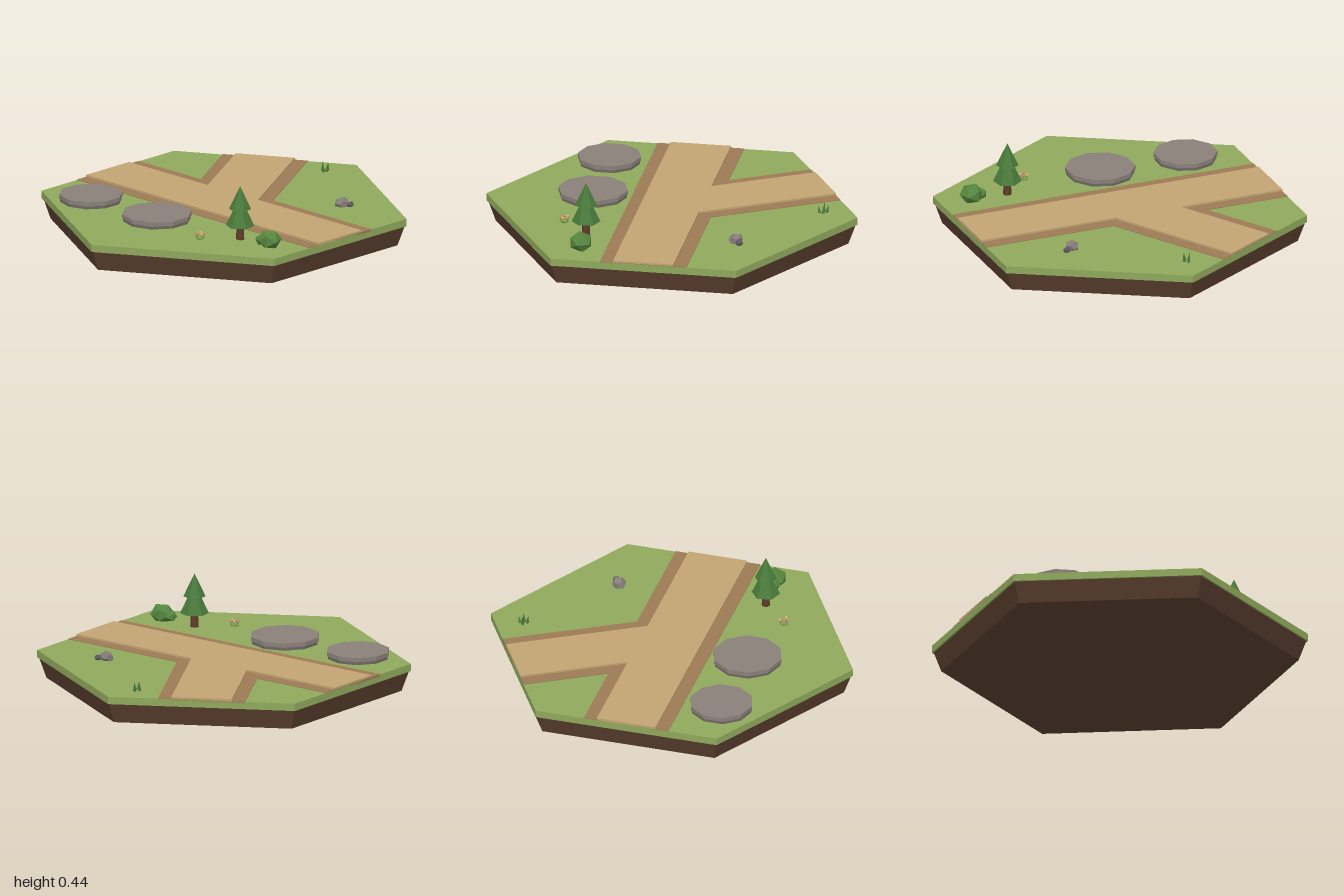
import * as THREE from 'three';

const GROUND = 0.15;
const mat = (color) => new THREE.MeshStandardMaterial({ color, flatShading: true });
const M = {
  soil: mat(0x5c4030), grass: mat(0x8fa85c), verge: mat(0x9c7a54), road: mat(0xc2a473),
  stone: mat(0x8a807a), stoneDark: mat(0x6e6662), trunk: mat(0x5d3d28), pine: mat(0x4a7a3c),
  bush: mat(0x55853f), rock: mat(0x857c78), rockDark: mat(0x5c5860), blade: mat(0x4f7d3c),
  leaf: mat(0x7da050), pink: mat(0xd98080), yellow: mat(0xe0c070),
};

function add(parent, name, geometry, material, x = 0, y = 0, z = 0) {
  const mesh = new THREE.Mesh(geometry, material);
  mesh.name = name;
  mesh.position.set(x, y, z);
  parent.add(mesh);
  return mesh;
}

function group(parent, name, x, z, y = GROUND) {
  const g = new THREE.Group();
  g.name = name;
  g.position.set(x, y, z);
  parent.add(g);
  return g;
}

// Slab in the outline of a straight road with a branch leaving at 60 degrees, w = half width
function roadSlab(w, bottom, top) {
  const e = Math.sqrt(3) / 2;
  const along = (t, s) => [-0.5 * t + e * s, -e * t - 0.5 * s];
  const outline = [
    [-e, w], [e, w], [e, -w],
    along(w / Math.sqrt(3), w), along(e, w), along(e, -w), along(w * Math.sqrt(3), -w),
    [-e, -w],
  ];
  const shape = new THREE.Shape(outline.map(([x, z]) => new THREE.Vector2(x, -z)));
  const geo = new THREE.ExtrudeGeometry(shape, { depth: top - bottom, bevelEnabled: false });
  return geo.rotateX(-Math.PI / 2).translate(0, bottom, 0);
}

export function createModel() {
  const model = new THREE.Group();
  model.name = 'hexRoadTile';

  // Hexagonal ground
  add(model, 'soilBase', new THREE.CylinderGeometry(0.99, 0.95, 0.11, 6), M.soil, 0, 0.055, 0);
  add(model, 'grassLayer', new THREE.CylinderGeometry(1, 1, 0.04, 6), M.grass, 0, 0.13, 0);

  // Forked road with verges
  add(model, 'roadVerge', roadSlab(0.233, 0.14, 0.153), M.verge);
  add(model, 'road', roadSlab(0.162, 0.145, 0.163), M.road);

  // Round stone platforms
  for (const [x, r] of [[-0.56, 0.17], [-0.07, 0.187]]) {
    const pad = group(model, 'stonePlatform', x, 0.437);
    add(pad, 'platformFoot', new THREE.CylinderGeometry(r * 0.97, r * 0.97, 0.02, 10), M.stoneDark, 0, 0.009, 0);
    add(pad, 'platformTop', new THREE.CylinderGeometry(r, r, 0.023, 10), M.stone, 0, 0.0285, 0);
  }

  // Pine tree
  const tree = group(model, 'pineTree', 0.49, 0.375);
  add(tree, 'trunk', new THREE.CylinderGeometry(0.018, 0.023, 0.09, 6), M.trunk, 0, 0.045, 0);
  for (const [r, y, h] of [[0.076, 0.076, 0.165], [0.059, 0.168, 0.126]]) {
    add(tree, 'foliage', new THREE.ConeGeometry(r, h, 6), M.pine, 0, y + h / 2, 0).rotation.y = 0.15;
  }

  // Bush made of two lumps
  const bush = group(model, 'bush', 0.7, 0.365);
  for (const [x, y, z, r, turn] of [[0, 0.042, 0, 0.065, 0.4], [-0.05, 0.032, 0.006, 0.038, 1.1]]) {
    const lump = add(bush, 'bushLump', new THREE.IcosahedronGeometry(r, 0), M.bush, x, y, z);
    lump.rotation.y = turn;
    lump.scale.y = 0.85;
  }

  // Rocks
  const rocks = group(model, 'rocks', 0.455, -0.425);
  for (const [x, y, z, r, m] of [[0, 0.016, 0, 0.04, M.rock], [0.04, 0.01, -0.026, 0.021, M.rockDark]]) {
    const rock = add(rocks, 'rock', new THREE.DodecahedronGeometry(r, 0), m, x, y, z);
    rock.rotation.set(0.3, 0.7, 0.2);
    rock.scale.y = 0.8;
  }

  // Grass tuft
  const tuft = group(model, 'grassTuft', -0.045, -0.808);
  for (const [x, z, h] of [[0, -0.022, 0.042], [0.016, -0.002, 0.05], [-0.015, 0, 0.055], [0.008, 0.022, 0.042]]) {
    const blade = add(tuft, 'grassBlade', new THREE.ConeGeometry(0.011, h, 3), M.blade, x, h / 2, z);
    blade.rotation.set(z * 8, x * 60, -x * 8);
  }

  // Flower patch
  const flowers = group(model, 'flowerPatch', 0.333, 0.52);
  add(flowers, 'leaves', new THREE.IcosahedronGeometry(0.022, 0), M.leaf, 0, 0.006, 0).scale.y = 0.5;
  for (let i = 0; i < 5; i++) {
    const a = i * Math.PI * 0.4, x = 0.02 * Math.sin(a), z = 0.02 * Math.cos(a), h = 0.024 + 0.004 * (i % 2);
    add(flowers, 'stem', new THREE.CylinderGeometry(0.003, 0.005, h, 5), M.leaf, x, h / 2, z);
    add(flowers, 'blossom', new THREE.IcosahedronGeometry(0.008, 0), i % 2 ? M.yellow : M.pink, x, h + 0.002, z);
  }

  return model;
}
